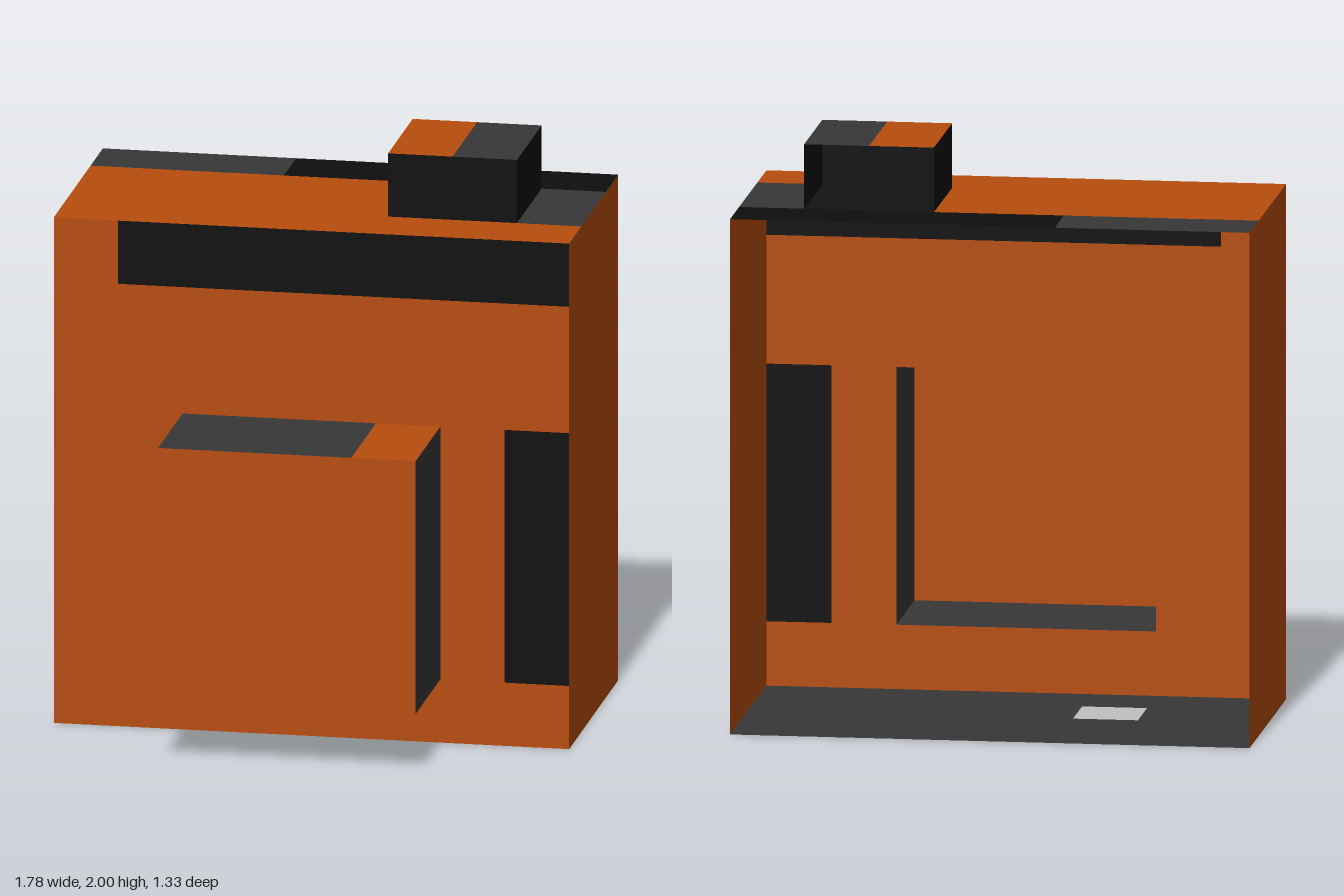
import * as THREE from 'three';

const U = 2 / 9; // every dimension is a whole number of these units

const mat = (name, color) => {
  const m = new THREE.MeshStandardMaterial({ color, side: THREE.DoubleSide });
  m.name = name;
  return m;
};

// Rotations that make a flat panel face each way. Panel coordinates (a, b) become:
// front (x, y), top (x, -z), bottom (x, z), right (-z, y), left (z, y)
const turn = {
  front: g => g,
  top: g => g.rotateX(-Math.PI / 2),
  bottom: g => g.rotateX(Math.PI / 2),
  right: g => g.rotateY(Math.PI / 2),
  left: g => g.rotateY(-Math.PI / 2),
};
const normal = { front: [0, 0, 1], top: [0, 1, 0], bottom: [0, 1, 0], right: [1, 0, 0], left: [1, 0, 0] };

const rect = (a0, b0, a1, b1) => [[a0, b0], [a1, b0], [a1, b1], [a0, b1]];
const toPoints = list => list.map(([a, b]) => new THREE.Vector2(a * U, b * U));

// One thin sheet at the given offset along its facing axis
function panel(parent, name, material, facing, offset, outline, hole) {
  const shape = new THREE.Shape(toPoints(outline));
  if (hole) shape.holes.push(new THREE.Path(toPoints(hole)));
  const mesh = new THREE.Mesh(turn[facing](new THREE.ShapeGeometry(shape)), material);
  mesh.name = name;
  mesh.position.fromArray(normal[facing]).multiplyScalar(offset * U);
  parent.add(mesh);
}

export function createModel() {
  const orange = mat('orange', 0xb84d0e);
  const grey = mat('dark grey', 0x373737);
  const black = mat('black', 0x0e0e0e);
  const pale = mat('pale grey', 0xc0c0c0);

  const model = new THREE.Group();
  model.name = 'boxCamera';
  const part = name => {
    const g = new THREE.Group();
    g.name = name;
    model.add(g);
    return g;
  };

  // Hollow body, open at the back
  const body = part('body');
  panel(body, 'frontWall', orange, 'front', 1,
    [[-4, 0], [4, 0], [4, 1], [3, 1], [3, 5], [4, 5], [4, 7], [-3, 7], [-3, 8], [-4, 8]],
    rect(-2, 1, 2, 5));
  panel(body, 'upperBand', black, 'front', 1, rect(-3, 7, 4, 8));
  panel(body, 'gripStrip', black, 'front', 1, rect(3, 1, 4, 5));
  panel(body, 'leftWall', orange, 'right', 4, rect(-1, 0, 3, 8));
  panel(body, 'rightWall', orange, 'left', -4, rect(-3, 0, 1, 8));

  // Top, with an opening below the button
  panel(body, 'topWall', orange, 'top', 8,
    [[-4, -1], [4, -1], [4, 0], [1, 0], [1, 2], [-4, 2]]);
  panel(body, 'topCorner', grey, 'top', 8, rect(3, 0, 4, 2));
  panel(body, 'topRearGrey', grey, 'top', 8, rect(-4, 2, -1, 3));
  panel(body, 'topRearBlack', black, 'top', 8, rect(-1, 2, 4, 3));

  // Floor with a pale square
  panel(body, 'floor', grey, 'bottom', 0, rect(-4, -3, 4, 1), rect(-2, -1, -1, 0));
  panel(body, 'floorSquare', pale, 'bottom', 0, rect(-2, -1, -1, 0));

  // Lens box, open into the body
  const lens = part('lens');
  panel(lens, 'lensFront', orange, 'front', 3, rect(-2, 1, 2, 5));
  panel(lens, 'lensTopGrey', grey, 'top', 5, rect(-2, -3, 1, -1));
  panel(lens, 'lensTopOrange', orange, 'top', 5, rect(1, -3, 2, -1));
  panel(lens, 'lensBottom', grey, 'bottom', 1, rect(-2, 1, 2, 3));
  panel(lens, 'lensLeft', grey, 'right', 2, rect(-3, 1, -1, 5));
  panel(lens, 'lensRight', orange, 'left', -2, rect(1, 1, 3, 5));

  // Button cap, open at the back and below
  const button = part('button');
  panel(button, 'buttonFront', black, 'front', 0, rect(1, 8, 3, 9));
  panel(button, 'buttonLeft', black, 'right', 3, rect(0, 8, 2, 9));
  panel(button, 'buttonRight', black, 'left', 1, rect(-2, 8, 0, 9));
  panel(button, 'buttonTopOrange', orange, 'top', 9, rect(1, 0, 2, 2));
  panel(button, 'buttonTopGrey', grey, 'top', 9, rect(2, 0, 3, 2));

  return model;
}
